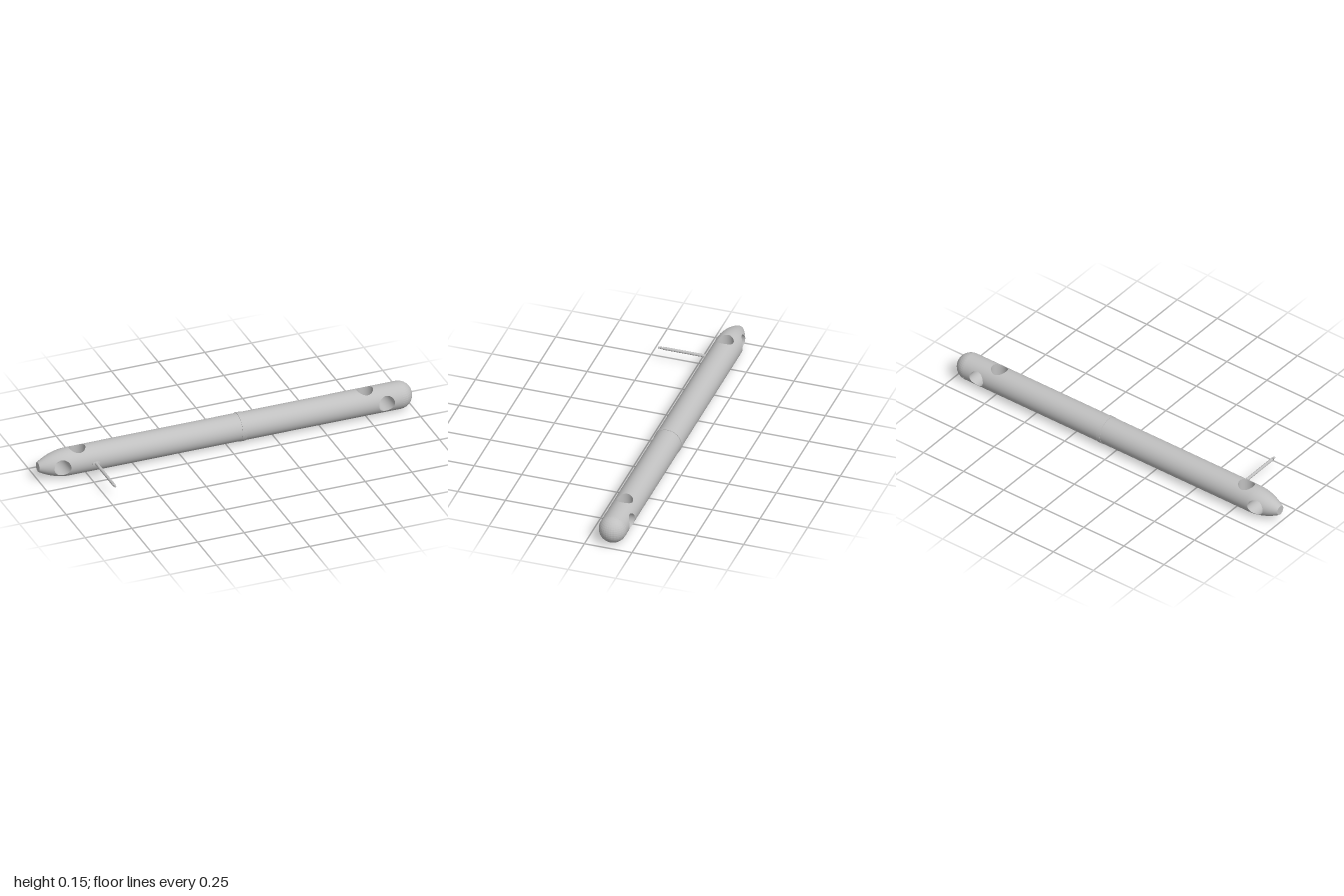
import * as THREE from 'three';

const R = 0.071, HOLE = 0.042, NOSE_START = -0.84;

// Hull radius along x: straight tube with a tapered nose at the -x end
const radius = x => {
  const d = Math.max(0, NOSE_START - x) / 0.16;
  return R - 0.046 * d * d;
};
const slope = x => (radius(x + 1e-4) - radius(x - 1e-4)) / 2e-4;

// Grid surface; fn(u, v) returns [position, normal]
function grid(nu, nv, fn) {
  const pos = [], nor = [], idx = [];
  for (let i = 0; i <= nv; i++) {
    for (let j = 0; j <= nu; j++) {
      const [p, n] = fn(j / nu, i / nv);
      pos.push(...p);
      nor.push(...n.normalize());
      if (i < nv && j < nu) {
        const a = i * (nu + 1) + j, b = a + nu + 1;
        idx.push(a, a + 1, b + 1, a, b + 1, b);
      }
    }
  }
  const g = new THREE.BufferGeometry();
  g.setAttribute('position', new THREE.Float32BufferAttribute(pos, 3));
  g.setAttribute('normal', new THREE.Float32BufferAttribute(nor, 3));
  g.setIndex(idx);
  return g;
}

// Point and normal on the hull at station x and angle t
function hullPoint(x, t) {
  const s = Math.sin(t), c = Math.cos(t), r = radius(x);
  return [new THREE.Vector3(x, r * s, r * c), new THREE.Vector3(-slope(x), s, c)];
}

// Plain length of hull
const tube = (x0, x1, n) => grid(n, 64, (u, v) =>
  hullPoint(THREE.MathUtils.lerp(x0, x1, u), v * Math.PI * 2));

// Walk round a square of half-size 1, counter-clockwise
function square(v) {
  const k = Math.min(3, Math.floor(v * 4)), f = (v * 4 - k) * 2 - 1;
  return [[1, f], [-f, 1], [-1, -f], [f, -1]][k];
}

// Half of a hull section, pierced by a round hole facing angle t0
const piercedHalf = (xc, half, t0) => grid(10, 128, (u, v) => {
  const [sx, st] = square(v), a = Math.atan2(st, sx);
  const hx = xc + HOLE * Math.cos(a);
  const ht = Math.asin(HOLE * Math.sin(a) / radius(hx));
  const x = THREE.MathUtils.lerp(hx, xc + half * sx, u);
  const t = THREE.MathUtils.lerp(ht, st * Math.PI / 2, u);
  return hullPoint(x, t + t0);
});

// Inner wall of the hole, from one side of the hull to the other
const tunnelWall = (xc, t0) => grid(2, 96, (u, v) => {
  const a = v * Math.PI * 2, x = xc + HOLE * Math.cos(a), l = HOLE * Math.sin(a);
  const d = Math.sqrt(radius(x) ** 2 - l * l) * (u * 2 - 1);
  const s = Math.sin(t0), c = Math.cos(t0);
  return [new THREE.Vector3(x, l * c + d * s, d * c - l * s),
    new THREE.Vector3(-Math.cos(a), -Math.sin(a) * c, Math.sin(a) * s)];
});

export function createModel() {
  const model = new THREE.Group();
  model.name = 'underwaterVehicle';
  const body = new THREE.Group();
  body.name = 'body';
  body.position.set(0, 0.0735, -0.126);
  model.add(body);

  const grey = new THREE.MeshStandardMaterial({ color: 0xc0c0c0 });
  grey.name = 'lightGrey';
  const facetedGrey = grey.clone();
  facetedGrey.flatShading = true;

  const add = (name, geometry, material = grey) => {
    const mesh = new THREE.Mesh(geometry, material);
    mesh.name = name;
    body.add(mesh);
    return mesh;
  };

  // Hull
  add('nose', tube(-1, -0.94, 10));
  add('noseTip', new THREE.CircleGeometry(radius(-1), 64)).rotation.y = -Math.PI / 2;
  body.getObjectByName('noseTip').position.x = -1;
  add('mainTube', tube(-0.74, 0.705, 8));
  add('rearTube', tube(0.889, 0.929, 1));
  add('roundedEnd', new THREE.SphereGeometry(R, 16, 20, Math.PI / 2, Math.PI), facetedGrey).position.x = 0.929;

  // Thruster tunnels: sideways and vertical at each end
  for (const [name, xc, half, t0] of [
    ['frontSideTunnel', -0.89, 0.05, 0],
    ['frontVerticalTunnel', -0.79, 0.05, Math.PI / 2],
    ['rearVerticalTunnel', 0.751, 0.046, Math.PI / 2],
    ['rearSideTunnel', 0.843, 0.046, 0],
  ]) {
    add(name + 'HullA', piercedHalf(xc, half, t0));
    add(name + 'HullB', piercedHalf(xc, half, t0 + Math.PI));
    add(name + 'Wall', tunnelWall(xc, t0));
  }

  // Raised joint ring
  const ring = add('jointRing', new THREE.CylinderGeometry(0.0735, 0.0735, 0.024, 64), facetedGrey);
  ring.rotation.z = Math.PI / 2;
  ring.position.x = 0.082;

  // Mast pointing out of the front side, with an oval foot and a stepped tip
  const mast = new THREE.Group();
  mast.name = 'mast';
  mast.position.x = -0.717;
  mast.rotation.x = Math.PI / 2;
  body.add(mast);
  const profile = [[0, 0.06], [0.008, 0.06], [0.008, 0.301], [0.004, 0.301], [0.004, 0.309],
    [0.0085, 0.309], [0.005, 0.317], [0.0055, 0.326], [0, 0.326]];
  const rod = new THREE.Mesh(new THREE.LatheGeometry(
    profile.map(p => new THREE.Vector2(...p)), 16), facetedGrey);
  rod.name = 'mastRod';
  const foot = new THREE.Mesh(new THREE.CylinderGeometry(0.008, 0.008, 0.014, 24), facetedGrey);
  foot.name = 'mastFoot';
  foot.scale.x = 2.6;
  foot.position.y = 0.073;
  mast.add(rod, foot);

  return model;
}
